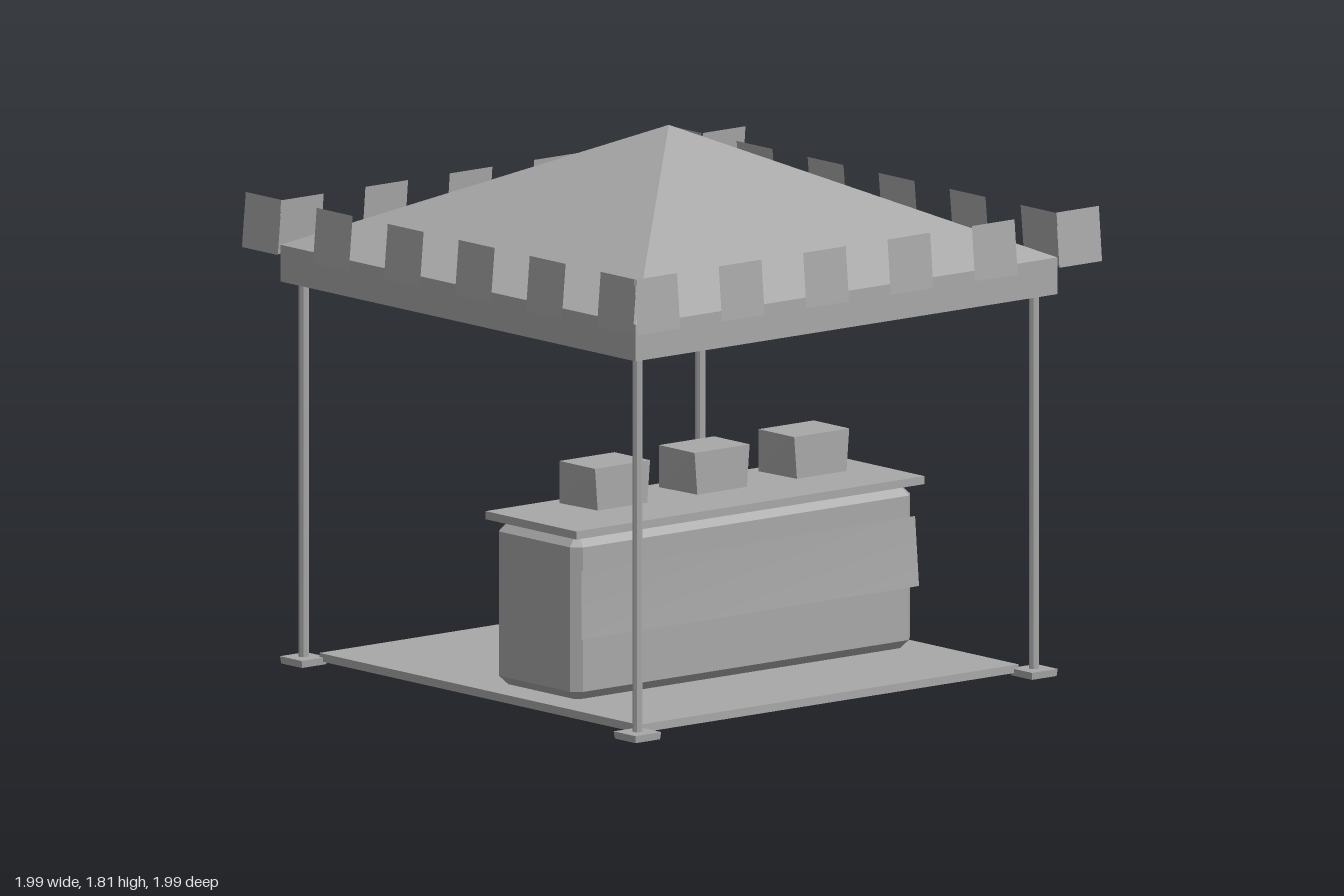
import * as THREE from 'three';

const CX = -0.09, CZ = 0.09; // centre of the pavilion, the flaps overhang one corner

export function createModel() {
  const root = new THREE.Group();
  root.name = 'marketStall';
  const grey = new THREE.MeshStandardMaterial({ color: 0xa8a8a8, side: THREE.DoubleSide });
  grey.name = 'plainGrey';

  const add = (name, geometry, x = 0, y = 0, z = 0, parent = root) => {
    const mesh = new THREE.Mesh(geometry, grey);
    mesh.name = name;
    mesh.position.set(x, y, z);
    parent.add(mesh);
    return mesh;
  };
  const faceted = (geometry) => {
    const flat = geometry.index ? geometry.toNonIndexed() : geometry;
    flat.computeVertexNormals();
    return flat;
  };
  // box given by its limits on each axis
  const block = (name, [x0, x1], [y0, y1], [z0, z1]) =>
    add(name, new THREE.BoxGeometry(x1 - x0, y1 - y0, z1 - z0),
      (x0 + x1) / 2, (y0 + y1) / 2, (z0 + z1) / 2);

  // floor
  block('floor', [CX - 0.81, CX + 0.81], [0.01, 0.037], [CZ - 0.81, CZ + 0.81]);

  // posts on square feet
  for (const sx of [-1, 1]) {
    for (const sz of [-1, 1]) {
      const x = CX + sx * 0.846, z = CZ + sz * 0.846;
      add('post', faceted(new THREE.CylinderGeometry(0.017, 0.017, 1.25, 8)), x, 0.65, z);
      const foot = faceted(new THREE.CylinderGeometry(0.078, 0.074, 0.024, 4).rotateY(Math.PI / 4));
      add('foot', foot, x, 0.012, z);
    }
  }

  // canopy: square fascia and pyramid roof
  block('fascia', [CX - 0.9, CX + 0.9], [1.27, 1.392], [CZ - 0.9, CZ + 0.9]);
  const roof = new THREE.ConeGeometry(0.9 * Math.SQRT2, 0.42, 4, 1, true).rotateY(Math.PI / 4);
  add('roof', faceted(roof), CX, 1.602, CZ);

  // upright flaps around the rim, leaning slightly inward
  const flap = new THREE.PlaneGeometry(0.182, 0.182).rotateX(-0.09);
  for (let side = 0; side < 4; side++) {
    const row = new THREE.Group();
    row.name = 'flapRow';
    row.position.set(CX, 1.45, CZ);
    row.rotation.y = side * Math.PI / 2;
    // rows share one grid, so they overhang only the far corner
    const shift = side < 2 ? 0.09 : -0.09;
    for (let i = 0; i < 6; i++) add('flap', flap, -0.9 + 0.36 * i + shift, 0, 0.904, row);
    root.add(row);
  }
  // the two side rows run the other way along z
  root.children.filter((c) => c.name === 'flapRow').forEach((row, side) => {
    const want = [0.09, 0.09, -0.09, -0.09][side];
    row.children.forEach((m, i) => { m.position.x = -0.9 + 0.36 * i + want; });
  });

  // counter body with chamfered edges
  const c = 0.03, hx = 0.725, hz = 0.21;
  const outline = new THREE.Shape([
    [-hx + c, -hz], [hx - c, -hz], [hx, -hz + c], [hx, hz - c],
    [hx - c, hz], [-hx + c, hz], [-hx, hz - c], [-hx, -hz + c],
  ].map(([x, y]) => new THREE.Vector2(x, y)));
  const body = new THREE.ExtrudeGeometry(outline, {
    depth: 0.48, bevelEnabled: true, bevelThickness: c, bevelSize: c, bevelOffset: -c, bevelSegments: 1,
  });
  body.rotateX(-Math.PI / 2);
  add('counterBody', faceted(body), -0.09, 0.07, 0.27);
  block('counterTop', [-0.83, 0.655], [0.585, 0.612], [0.04, 0.5]);

  // loose front panel, its upper right corner touching the body
  const panel = new THREE.PlaneGeometry(1.44, 0.23);
  panel.attributes.position.setZ(1, -0.02);
  panel.computeVertexNormals();
  add('frontPanel', panel, -0.09, 0.365, 0.503);

  // three crates, narrower at the lower front
  for (const x of [-0.515, -0.09, 0.335]) {
    const crate = new THREE.BoxGeometry(0.235, 0.14, 0.18);
    const p = crate.attributes.position;
    for (let i = 0; i < p.count; i++) {
      if (p.getY(i) < 0 && p.getZ(i) > 0) p.setX(i, p.getX(i) * 0.9);
    }
    add('crate', faceted(crate), x, 0.705, 0.27);
  }
  return root;
}
